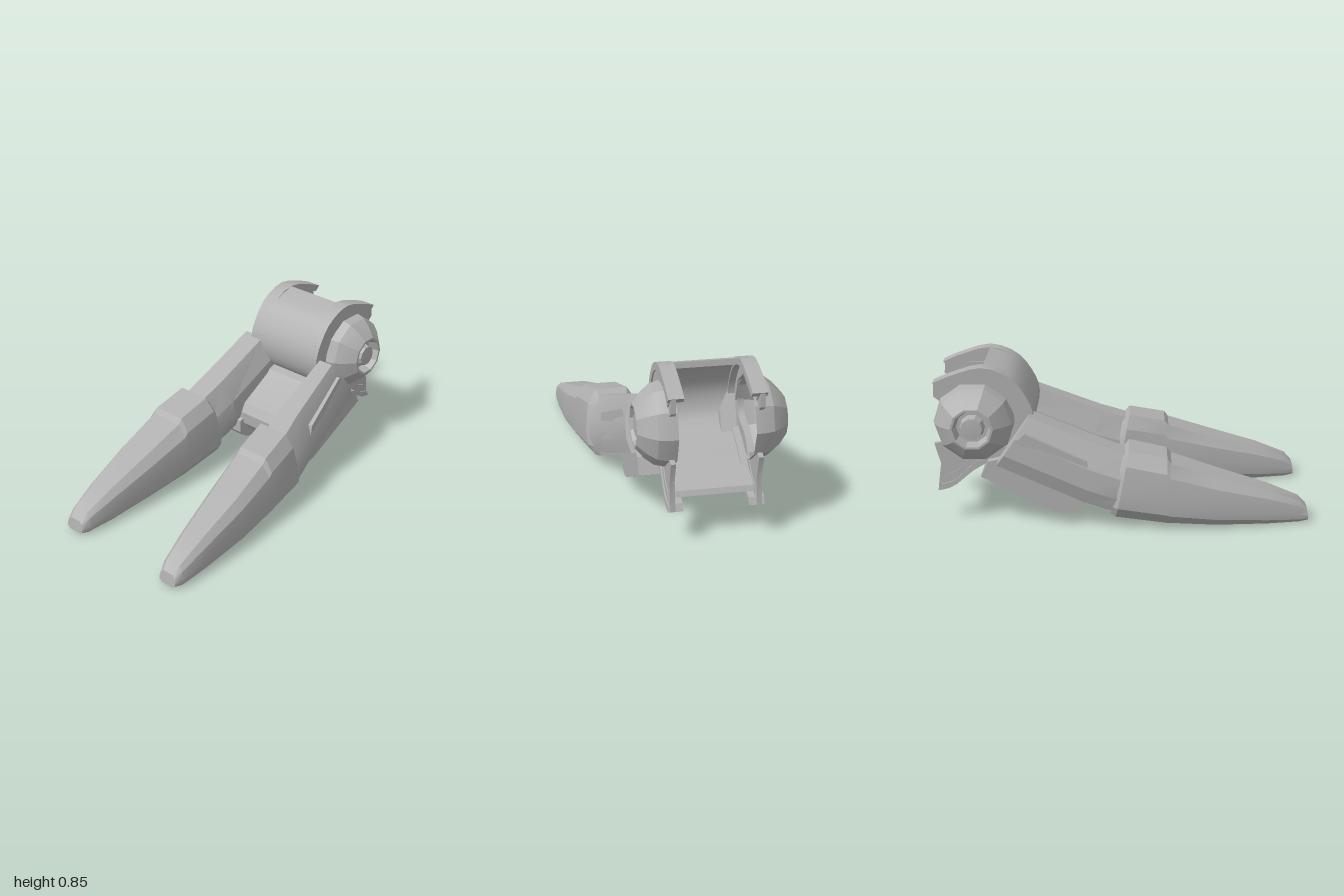
import * as THREE from 'three';
import { toCreasedNormals } from 'three/addons/utils/BufferGeometryUtils.js';

// Double sided because the round bosses are open shells
const grey = new THREE.MeshStandardMaterial({ color: 0xb0b0b0, side: THREE.DoubleSide });
grey.name = 'plain grey';
const MID = -0.093; // centre plane of the hinge
const HUB_Z = -0.77, HUB_Y = 0.565;

function add(group, name, geometry, crease = 0.5) {
  const mesh = new THREE.Mesh(toCreasedNormals(geometry, crease), grey);
  mesh.name = name;
  group.add(mesh);
  return mesh;
}

// Side outline given as [z, y], extruded from x0 to x1
function slab(points, x0, x1) {
  const shape = new THREE.Shape(points.map(([z, y]) => new THREE.Vector2(-z, y)));
  const g = new THREE.ExtrudeGeometry(shape, { depth: x1 - x0, bevelEnabled: false });
  g.rotateY(Math.PI / 2);
  g.translate(x0, 0, 0);
  return g;
}

// Solid through cross-sections, each [xMin, xMax, yMin, yMax, zBottom, zTop]
function loft(outline, sections) {
  const rings = sections.map(([x0, x1, y0, y1, z0, z1]) => outline.map(([u, v]) => [
    (x0 + x1) / 2 + u * (x1 - x0) / 2, y0 + v * (y1 - y0), z0 + v * (z1 - z0)]));
  const n = outline.length, pos = rings.flat(2), idx = [];
  for (let s = 0; s < rings.length - 1; s++) {
    for (let i = 0; i < n; i++) {
      const a = s * n + i, b = s * n + (i + 1) % n;
      idx.push(a, a + n, b + n, a, b + n, b);
    }
  }
  const last = (rings.length - 1) * n;
  for (let i = 1; i < n - 1; i++) {
    idx.push(0, i, i + 1, last, last + i + 1, last + i);
  }
  const g = new THREE.BufferGeometry();
  g.setAttribute('position', new THREE.Float32BufferAttribute(pos, 3));
  g.setIndex(idx);
  return g;
}

const toeOutline = [[-0.58, 1], [0.58, 1], [0.88, 0.8], [1, 0.4], [0.95, 0.17],
  [0.66, 0], [-0.66, 0], [-0.95, 0.17], [-1, 0.4], [-0.88, 0.8]];
const linkOutline = [[-0.45, 1], [0.5, 1], [0.95, 0.6], [1, 0.25], [0.8, 0],
  [-0.8, 0], [-1, 0.25], [-0.95, 0.6]];

// Curved outline of the hinge, from a [z, y] path, with an inner wall towards the hub
function curvedWall(path, thickness) {
  const outer = new THREE.SplineCurve(path.map(p => new THREE.Vector2(...p))).getPoints(28);
  const inner = outer.map(p => {
    const d = new THREE.Vector2(HUB_Z - p.x, HUB_Y - p.y).setLength(thickness);
    return p.clone().add(d);
  }).reverse();
  return [...outer, ...inner].map(p => [p.x, p.y]);
}

export function createModel() {
  const model = new THREE.Group();
  model.name = 'twoToedFoot';

  // Toes: [xMin, xMax, yMin, yMax, zBottom, zTop], heel to tip
  const height = [[0.08, 0.39, -0.06, 0.0], [0.07, 0.435, -0.03, 0.04], [0.036, 0.39, 0.24, 0.24],
    [0.036, 0.362, 0.25, 0.262], [0.018, 0.28, 0.5, 0.5], [0.006, 0.19, 0.78, 0.78],
    [0.004, 0.12, 0.95, 0.95], [0.012, 0.08, 1.0, 0.99]];
  const rightX = [[-0.45, -0.19], [-0.482, -0.165], [-0.484, -0.16], [-0.484, -0.16],
    [-0.46, -0.17], [-0.4, -0.185], [-0.355, -0.205], [-0.34, -0.225]];
  const leftX = [[0.14, 0.38], [0.115, 0.415], [0.15, 0.45], [0.15, 0.45],
    [0.205, 0.475], [0.28, 0.482], [0.33, 0.478], [0.35, 0.46]];
  for (const [name, xs] of [['rightToe', rightX], ['leftToe', leftX]]) {
    add(model, name, loft(toeOutline, height.map((h, i) => [...xs[i], ...h])), 0.4);
  }

  // Sloping links from the hinge to the toes
  const linkEnds = [[0.36, 0.61, -0.65, -0.48], [0.16, 0.46, -0.2, -0.12], [0.105, 0.405, -0.04, 0.03]];
  const links = {
    rightLink: [[-0.465, -0.2], [-0.47, -0.195], [-0.465, -0.2]],
    leftLink: [[0.11, 0.29], [0.115, 0.36], [0.14, 0.4]],
  };
  for (const [name, xs] of Object.entries(links)) {
    add(model, name, loft(linkOutline, linkEnds.map((h, i) => [...xs[i], ...h])), 0.4);
  }

  // Raised panel on the outer face of each link
  const panel = [[-0.17, 0.34], [-0.18, 0.39], [-0.5, 0.54], [-0.55, 0.49], [-0.52, 0.47]];
  const leftPanel = add(model, 'leftLinkPanel', slab(panel, -0.03, -0.004));
  leftPanel.position.set(0.325, 0, -0.35);
  leftPanel.geometry.translate(0, 0, 0.35);
  leftPanel.rotation.y = 0.2;
  add(model, 'rightLinkPanel', slab(panel, -0.46, -0.43));

  // Lower cheeks under the links
  const cheek = [[-0.2, 0.2], [-0.2, 0.125], [-0.22, 0.1], [-0.26, 0.075], [-0.3, 0.068],
    [-0.34, 0.075], [-0.45, 0.13], [-0.74, 0.275], [-0.7, 0.36], [-0.6, 0.38]];
  add(model, 'leftCheek', slab(cheek, 0.1, 0.25));
  add(model, 'rightCheek', slab(cheek, -0.38, -0.185));

  // Cross bar joining the links
  const bar = [[-0.53, 0.45], [-0.47, 0.43], [-0.45, 0.41], [-0.25, 0.3], [-0.22, 0.25],
    [-0.225, 0.18], [-0.26, 0.135], [-0.31, 0.12], [-0.36, 0.14], [-0.4, 0.2], [-0.45, 0.21],
    [-0.62, 0.32]];
  add(model, 'crossBar', slab(bar, -0.25, 0.16), 0.45);

  // Hinge drum, open at the back
  const front = [[-0.72, 0.857], [-0.58, 0.805], [-0.495, 0.7], [-0.46, 0.6], [-0.475, 0.5],
    [-0.53, 0.43], [-0.65, 0.37], [-0.78, 0.295]];
  add(model, 'drumShell', slab(curvedWall([...front, [-0.93, 0.235]], 0.03), -0.3, 0.12), 0.6);

  // Rims, flanges, fins and hollow round bosses, mirrored about the hinge centre
  const rimPath = [[-0.98, 0.775], [-0.87, 0.82], ...front, [-0.89, 0.205], [-0.975, 0.18]];
  const lowerFin = [[-0.76, 0.31], [-0.89, 0.205], [-0.975, 0.18], [-0.955, 0.33],
    [-0.985, 0.44], [-0.93, 0.45], [-0.78, 0.37]];
  const upperFin = [[-0.85, 0.8], [-0.975, 0.77], [-0.98, 0.7], [-0.93, 0.66], [-0.82, 0.75]];
  const boss = [[0.215, 0.19], [0.212, 0.24], [0.2, 0.285], [0.165, 0.33], [0.112, 0.375],
    [0.1, 0.375], [0.085, 0.32], [0.066, 0.32], [0.056, 0.365], [0, 0.37]]
    .map(p => new THREE.Vector2(...p));
  for (const [side, s] of [['left', 1], ['right', -1]]) {
    const span = (a, b) => s > 0 ? [MID + a, MID + b] : [MID - b, MID - a];
    add(model, side + 'Rim', slab(curvedWall(rimPath, 0.04), ...span(0.165, 0.243)), 0.6);
    add(model, side + 'Flange', slab(curvedWall(rimPath, 0.1), ...span(0.2, 0.235)), 0.6);
    add(model, side + 'LowerFin', slab(lowerFin, ...span(0.205, 0.23)));
    add(model, side + 'UpperFin', slab(upperFin, ...span(0.205, 0.23)));
    const g = new THREE.LatheGeometry(boss, 10);
    g.rotateZ(-s * Math.PI / 2);
    g.translate(MID, HUB_Y, HUB_Z);
    add(model, side + 'Boss', g, 0.35);
  }
  return model;
}
